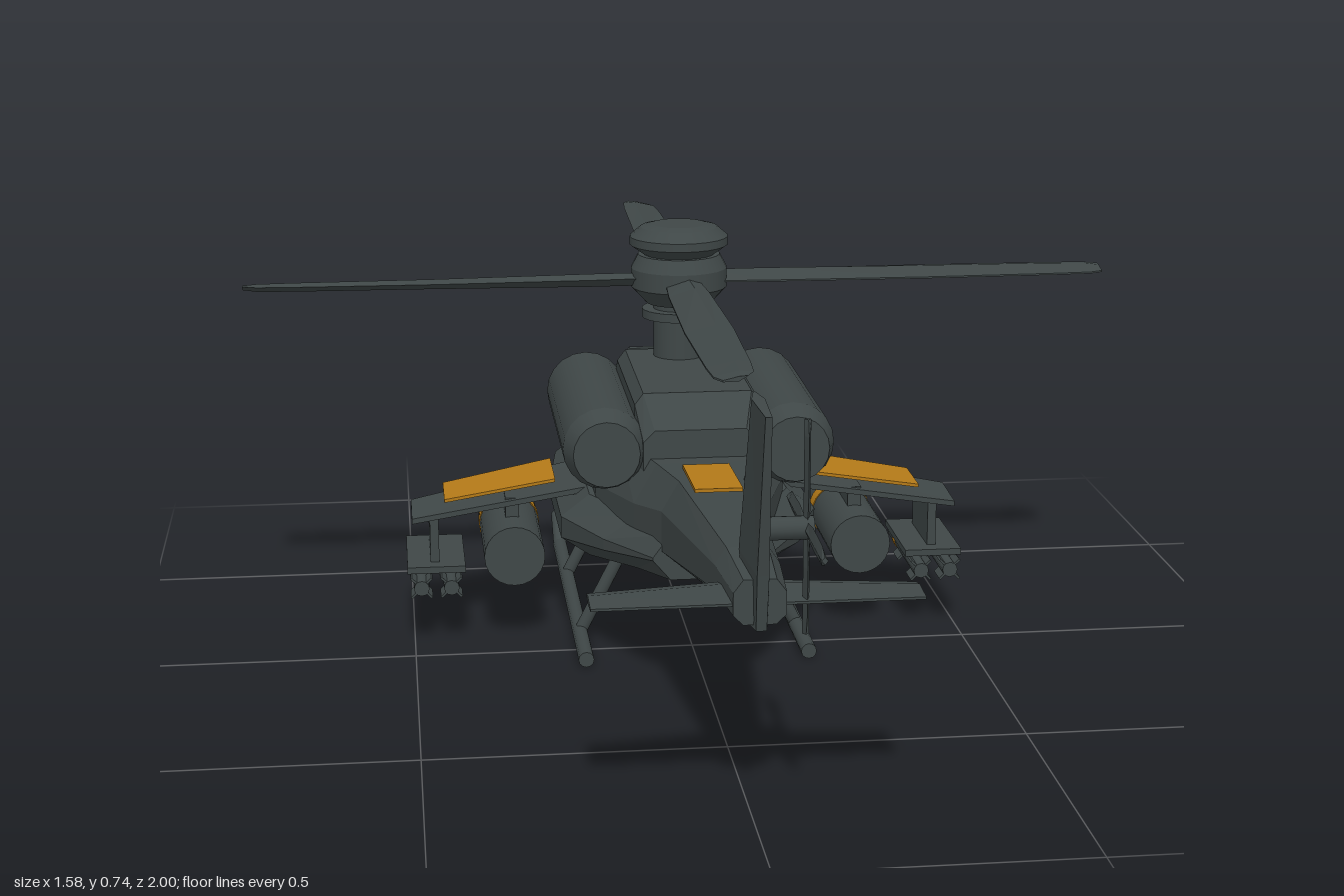
import * as THREE from 'three';

export function createModel() {
  const root = new THREE.Group();
  const grey = new THREE.MeshStandardMaterial({ color: 0x3f4747 });
  grey.name = 'gunmetal grey';
  const amber = new THREE.MeshStandardMaterial({ color: 0xb47a18 });
  amber.name = 'amber';

  function add(name, geo, mat = grey, parent = root) {
    const m = new THREE.Mesh(geo, mat);
    m.name = name;
    parent.add(m);
    return m;
  }
  // Faceted solid through rings of [x, y, z]; flipped outward by its signed volume
  function loft(rings) {
    const tris = [], n = rings[0].length, last = rings[rings.length - 1];
    for (let r = 0; r < rings.length - 1; r++)
      for (let i = 0; i < n; i++) {
        const j = (i + 1) % n, a = rings[r][i], b = rings[r][j], c = rings[r + 1][j], d = rings[r + 1][i];
        tris.push([a, b, c], [a, c, d]);
      }
    for (let i = 1; i < n - 1; i++) {
      tris.push([rings[0][0], rings[0][i + 1], rings[0][i]], [last[0], last[i], last[i + 1]]);
    }
    let vol = 0;
    for (const [a, b, c] of tris)
      vol += a[0] * (b[1] * c[2] - b[2] * c[1]) + a[1] * (b[2] * c[0] - b[0] * c[2]) + a[2] * (b[0] * c[1] - b[1] * c[0]);
    const pos = tris.flatMap(([a, b, c]) => (vol > 0 ? [a, b, c] : [a, c, b]).flat());
    const g = new THREE.BufferGeometry();
    g.setAttribute('position', new THREE.Float32BufferAttribute(pos, 3));
    g.computeVertexNormals();
    return g;
  }
  // Round bar between two points
  function rod(a, b, r, r2 = r, seg = 12) {
    const A = new THREE.Vector3(...a), B = new THREE.Vector3(...b), d = B.clone().sub(A);
    const g = new THREE.CylinderGeometry(r2, r, d.length(), seg);
    g.applyQuaternion(new THREE.Quaternion().setFromUnitVectors(new THREE.Vector3(0, 1, 0), d.normalize()));
    return g.translate(...A.add(B).multiplyScalar(0.5).toArray());
  }
  const box = (w, h, d, x, y, z) => new THREE.BoxGeometry(w, h, d).translate(x, y, z);
  // Symmetric eight-sided cross-section
  const section = (z, bw, b, mw, m1, m2, tw, t) => [
    [bw, b, z], [mw, m1, z], [mw, m2, z], [tw, t, z], [-tw, t, z], [-mw, m2, z], [-mw, m1, z], [-bw, b, z]];

  // Fuselage and tail boom
  add('fuselage', loft([
    section(-0.88, 0.04, 0.145, 0.07, 0.17, 0.22, 0.045, 0.25),
    section(-0.74, 0.07, 0.145, 0.115, 0.175, 0.25, 0.075, 0.3),
    section(-0.6, 0.09, 0.145, 0.145, 0.19, 0.27, 0.1, 0.34),
    section(-0.34, 0.1, 0.145, 0.17, 0.2, 0.3, 0.13, 0.38),
    section(-0.04, 0.1, 0.15, 0.17, 0.21, 0.3, 0.13, 0.39),
    section(0.16, 0.075, 0.2, 0.12, 0.25, 0.32, 0.08, 0.39),
    section(0.28, 0.05, 0.24, 0.085, 0.27, 0.34, 0.055, 0.392),
    section(0.72, 0.03, 0.325, 0.05, 0.345, 0.385, 0.032, 0.412),
    section(0.86, 0.025, 0.335, 0.04, 0.35, 0.385, 0.025, 0.405)]));
  add('boomPanel', loft([[0.2, 0.392], [0.38, 0.4]].map(([z, y]) =>
    [[-0.04, y, z], [0.04, y, z], [0.04, y + 0.006, z], [-0.04, y + 0.006, z]])), amber);

  // Nose sensor
  add('noseSensor', loft([[-0.935, 0.022, 0.172, 0.215], [-0.92, 0.035, 0.165, 0.222], [-0.87, 0.035, 0.165, 0.222]]
    .map(([z, w, b, t]) => [[-w, b, z], [w, b, z], [w, t, z], [-w, t, z]])));

  // Canopy and its frames
  const canopy = [[-0.83, 0.05, 0.25, 0.28], [-0.72, 0.075, 0.28, 0.35], [-0.57, 0.095, 0.32, 0.42],
    [-0.38, 0.105, 0.36, 0.455], [-0.2, 0.105, 0.37, 0.47]];
  const arch = (z, w, b, t, e = 0) => [[w + e, b, z], [w + e, b + (t - b) * 0.5, z], [w * 0.55 + e, t + e, z],
    [-w * 0.55 - e, t + e, z], [-w - e, b + (t - b) * 0.5, z], [-w - e, b, z]];
  add('canopy', loft(canopy.map((c) => arch(...c))));
  for (const [z, w, b, t] of canopy.slice(1, 4))
    add('canopyFrame', loft([arch(z - 0.008, w, b, t, 0.006), arch(z + 0.008, w, b, t, 0.006)]));

  // Engine deck
  add('engineDeck', loft([
    section(-0.31, 0.11, 0.33, 0.11, 0.38, 0.43, 0.09, 0.47),
    section(-0.26, 0.11, 0.33, 0.11, 0.38, 0.475, 0.095, 0.495),
    section(0.08, 0.11, 0.33, 0.11, 0.38, 0.475, 0.095, 0.495),
    section(0.13, 0.1, 0.33, 0.1, 0.37, 0.42, 0.08, 0.44)]));

  // Tail fin and stabiliser
  add('tailFin', loft([[0.33, 0.78, 0.875, 0.016], [0.42, 0.705, 0.89, 0.018], [0.67, 0.775, 0.935, 0.01]]
    .map(([y, f, r, w]) => [[0, y, f], [w, y, f + 0.05], [w * 0.5, y, r], [-w * 0.5, y, r], [-w, y, f + 0.05]])));
  add('stabiliser', loft([[-0.25, 0.775], [0, 0.735], [0.25, 0.775]].map(([x, f]) =>
    [[x, 0.365, f], [x, 0.371, f + 0.03], [x, 0.367, 0.855], [x, 0.363, 0.855], [x, 0.359, f + 0.03]])));

  // Tail rotor
  const tailRotor = new THREE.Group();
  tailRotor.name = 'tailRotor';
  tailRotor.position.set(0.072, 0.475, 0.835);
  root.add(tailRotor);
  add('tailRotorHub', rod([-0.07, 0, 0], [0.01, 0, 0], 0.018), grey, tailRotor);
  for (let i = 0; i < 4; i++) {
    const blade = loft([[0.01, 0.01], [0.06, 0.017], [0.14, 0.015], [0.165, 0.006]].map(([y, w]) =>
      [[-0.005, y, 0], [0, y, w], [0.005, y, 0], [0, y, -w]]));
    add('tailRotorBlade', blade, grey, tailRotor).rotation.x = i * Math.PI / 2;
  }

  // Main rotor
  const rotor = new THREE.Group();
  rotor.name = 'mainRotor';
  rotor.position.set(0, 0, -0.21);
  root.add(rotor);
  const stack = (name, pts) => {
    for (let i = 0; i < pts.length - 1; i++) {
      const [r0, y0] = pts[i], [r1, y1] = pts[i + 1];
      add(name, new THREE.CylinderGeometry(r1, r0, y1 - y0, 24).translate(0, (y0 + y1) / 2, 0), grey, rotor);
    }
  };
  stack('mast', [[0.047, 0.47], [0.047, 0.6]]);
  stack('swashplate', [[0.068, 0.568], [0.068, 0.584]]);
  stack('rotorHub', [[0.06, 0.595], [0.088, 0.625], [0.088, 0.66], [0.075, 0.685]]);
  stack('hubCap', [[0.065, 0.685], [0.09, 0.703], [0.09, 0.718], [0.07, 0.735], [0.05, 0.74]]);
  for (let i = 0; i < 4; i++) {
    const blade = loft([[0.06, 0.03, 0.012], [0.16, 0.036, 0.012], [0.45, 0.041, 0.009], [0.7, 0.036, 0.008], [0.765, 0.032, 0.007], [0.79, 0.02, 0.004]]
      .map(([x, w, t]) => [[x, 0.645, -w], [x, 0.64 + t, -w * 0.3], [x, 0.638, w], [x, 0.635, w], [x, 0.64 - t, -w * 0.3]]));
    add('rotorBlade', blade, grey, rotor).rotation.y = i * Math.PI / 2;
  }

  // Chin turret and gun
  add('turret', rod([0, 0.075, -0.68], [0, 0.15, -0.68], 0.06, 0.075, 16));
  add('gunCradle', box(0.05, 0.04, 0.12, 0, 0.09, -0.73));
  add('gunBarrel', rod([0, 0.09, -0.6], [0, 0.09, -0.95], 0.011));

  for (const s of [-1, 1]) {
    // Side sponson
    add('sponson', loft([[-0.63, 0.155, 0.205, 0.15, 0.24], [-0.36, 0.18, 0.232, 0.15, 0.265], [-0.06, 0.18, 0.232, 0.16, 0.275],
      [0.12, 0.11, 0.17, 0.19, 0.285], [0.285, 0.07, 0.1, 0.22, 0.3]].map(([z, a, o, b, t]) =>
      [[0, b, z], [s * a, b, z], [s * o, b + 0.035, z], [s * o, t - 0.04, z], [s * a, t, z], [0, t, z]])));

    // Engine nacelle
    const x = s * 0.165, nacelle = [[-0.345, 0.055], [-0.32, 0.073], [0.105, 0.073], [0.15, 0.058]];
    for (let i = 0; i < 3; i++)
      add('engineNacelle', rod([x, 0.405, nacelle[i][0]], [x, 0.405, nacelle[i + 1][0]], nacelle[i][1], nacelle[i + 1][1], 20));
    add('engineCowl', loft([-0.34, 0.06].map((z) =>
      [[s * 0.1, 0.335, z], [s * 0.2, 0.335, z], [s * 0.225, 0.36, z], [s * 0.1, 0.42, z]])));

    // Stub wing with marking panel
    add('stubWing', loft([[0.13, -0.36, -0.13, 0.273], [0.5, -0.24, -0.09, 0.226]].map(([wx, f, r, y]) =>
      [[s * wx, y - 0.004, f], [s * wx, y + 0.009, f + 0.04], [s * wx, y + 0.004, r], [s * wx, y - 0.006, r], [s * wx, y - 0.012, f + 0.04]])));
    add('wingPanel', loft([[0.235, -0.31, -0.165, 0.27], [0.44, -0.245, -0.13, 0.247]].map(([wx, f, r, y]) =>
      [[s * wx, y, f], [s * wx, y, r], [s * wx, y + 0.006, r], [s * wx, y + 0.006, f]])), amber);

    // Rocket pod
    const px = s * 0.317;
    add('rocketPod', rod([px, 0.165, -0.335], [px, 0.165, -0.05], 0.055, 0.055, 24));
    add('podBand', rod([px, 0.165, -0.295], [px, 0.165, -0.26], 0.0565, 0.0565, 24), amber);
    add('podPylon', box(0.025, 0.06, 0.14, px, 0.225, -0.19));

    // Missile rack
    add('rackPylon', box(0.016, 0.09, 0.14, s * 0.46, 0.18, -0.17));
    add('missileRail', box(0.105, 0.012, 0.2, s * 0.458, 0.138, -0.17));
    for (const mx of [s * 0.432, s * 0.486]) {
      add('missileHanger', box(0.012, 0.03, 0.12, mx, 0.125, -0.17));
      add('missileBody', rod([mx, 0.11, -0.31], [mx, 0.11, -0.05], 0.014));
      add('missileNose', rod([mx, 0.11, -0.31], [mx, 0.11, -0.375], 0.014, 0.002));
      add('missileBand', rod([mx, 0.11, -0.255], [mx, 0.11, -0.235], 0.0155), amber);
      for (const z of [-0.075, -0.2])
        for (const a of [1, -1]) {
          const fin = add('missileFin', new THREE.BoxGeometry(0.052, 0.004, 0.045));
          fin.position.set(mx, 0.11, z);
          fin.rotation.z = a * Math.PI / 4;
        }
    }

    // Landing skid
    const sx = s * 0.2;
    add('skid', rod([sx, 0.014, 0.095], [sx, 0.014, -0.6], 0.014));
    add('skidTip', rod([sx, 0.014, -0.595], [sx, 0.06, -0.662], 0.013));
    for (const z of [-0.4, -0.06]) add('skidStrut', rod([sx, 0.014, z], [s * 0.115, 0.18, z], 0.012));
  }
  return root;
}
